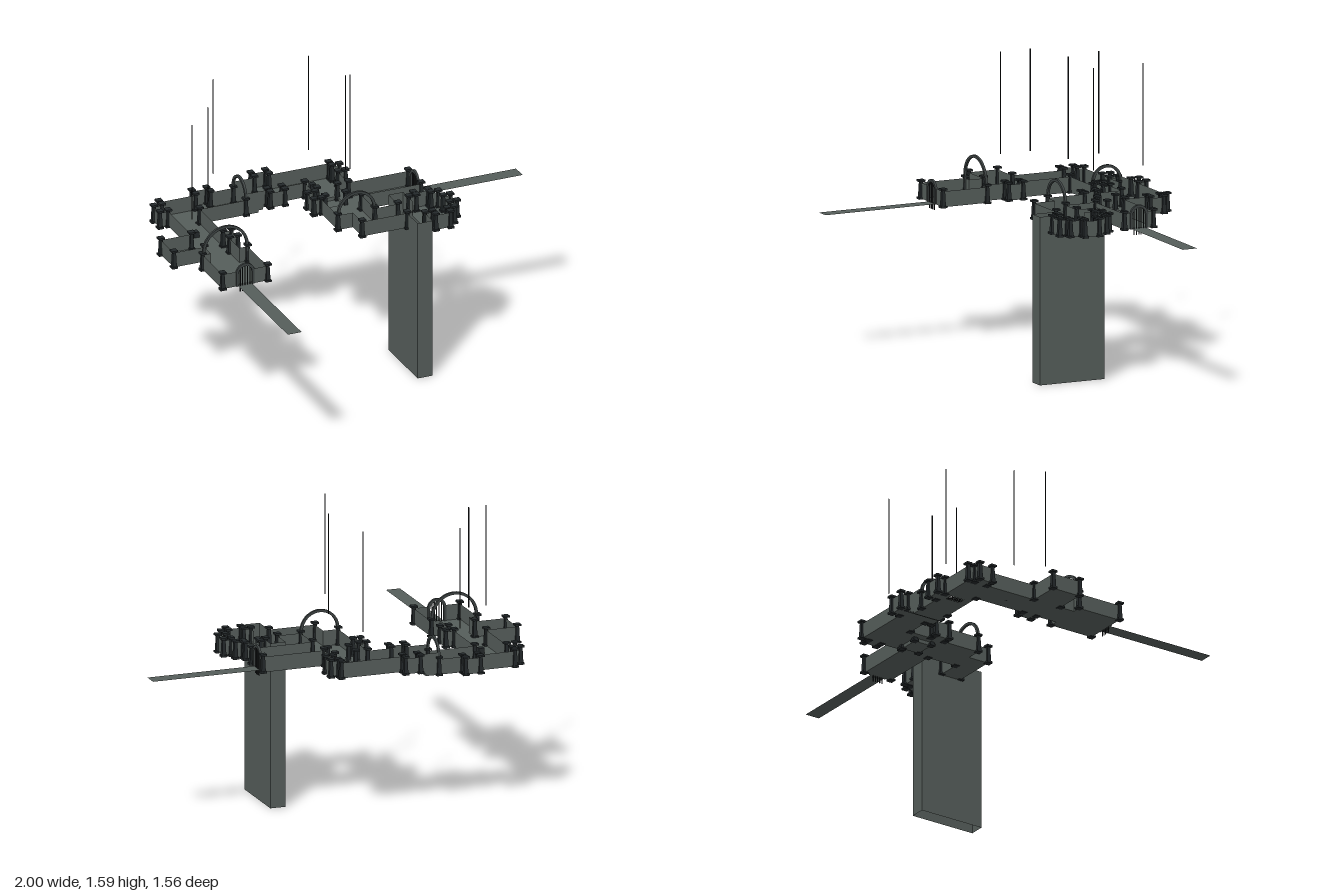
import * as THREE from 'three';

const mat = (name, color, side = THREE.FrontSide) => {
  const m = new THREE.MeshStandardMaterial({ color, side });
  m.name = name;
  return m;
};

export function createModel() {
  const root = new THREE.Group();
  const stone = mat('grey green stone', 0x555d5a, THREE.DoubleSide);
  const dark = mat('dark pillar stone', 0x23282a);
  const trim = mat('arch stone', 0x3c4242);
  const iron = mat('black iron', 0x1b1d1e);
  const LOW = 0.74, HIGH = 0.775, WALL = 0.08;

  const add = (parent, name, geo, m, x = 0, y = 0, z = 0) => {
    const mesh = new THREE.Mesh(geo, m);
    mesh.name = name;
    mesh.position.set(x, y, z);
    parent.add(mesh);
    return mesh;
  };
  const group = (name, parent = root) => {
    const g = new THREE.Group();
    g.name = name;
    parent.add(g);
    return g;
  };
  const box = (parent, name, m, w, h, d, x, y, z) => add(parent, name, new THREE.BoxGeometry(w, h, d), m, x, y, z);

  // Thin wall panels along a list of [x, z] points
  function walls(name, pts, y0, y1) {
    const pos = [], idx = [];
    for (let i = 0; i < pts.length - 1; i++) {
      const [a, b] = pts[i], [c, d] = pts[i + 1], n = i * 4;
      pos.push(a, y0, b, c, y0, d, c, y1, d, a, y1, b);
      idx.push(n, n + 1, n + 2, n, n + 2, n + 3);
    }
    const g = new THREE.BufferGeometry();
    g.setAttribute('position', new THREE.Float32BufferAttribute(pos, 3));
    g.setIndex(idx);
    g.computeVertexNormals();
    add(root, name, g, stone);
  }

  // Flat floor from an outline, with optional rectangular holes
  const rect = (x0, x1, z0, z1) => [[x0, z0], [x1, z0], [x1, z1], [x0, z1]];
  function floor(name, pts, y, holes = []) {
    const v = (l) => l.map(([x, z]) => new THREE.Vector2(x, -z));
    const s = new THREE.Shape(v(pts));
    holes.forEach((h) => s.holes.push(new THREE.Path(v(h))));
    add(root, name, new THREE.ShapeGeometry(s).rotateX(-Math.PI / 2), stone, 0, y, 0);
  }

  // Tapered square pillar with base and cap
  const shaftGeo = new THREE.CylinderGeometry(0.011, 0.016, 0.08, 4, 1).rotateY(Math.PI / 4).toNonIndexed();
  shaftGeo.computeVertexNormals();
  function pillar(x, z, y) {
    const p = group('pillar');
    p.position.set(x, y, z);
    box(p, 'pillarBase', dark, 0.032, 0.01, 0.032, 0, 0.002, 0);
    add(p, 'pillarShaft', shaftGeo, dark, 0, 0.046, 0);
    box(p, 'pillarCap', dark, 0.032, 0.01, 0.032, 0, 0.091, 0);
  }
  // A third entry in a point means no pillar there
  const pillars = (pts, y) => pts.forEach(([x, z, none]) => none || pillar(x, z, y));

  // Lower rooms: outer and inner wall lines
  const lowOuter = [[-0.78, 0.165, 1], [-0.865, 0.165], [-0.865, -0.08], [-0.82, -0.08, 1], [-0.82, -0.16],
    [-0.985, -0.16], [-0.985, -0.32], [-0.82, -0.32], [-0.82, -0.605], [-0.865, -0.605], [-0.865, -0.68],
    [-0.82, -0.68], [-0.82, -0.72], [-0.62, -0.72], [-0.62, -0.765], [-0.54, -0.765], [-0.54, -0.72], [-0.415, -0.72]];
  const lowInner = [[-0.705, 0.165, 1], [-0.62, 0.165], [-0.62, -0.08], [-0.665, -0.08, 1], [-0.665, -0.2],
    [-0.62, -0.2], [-0.62, -0.28], [-0.665, -0.28], [-0.665, -0.565], [-0.415, -0.565]];
  const grate = rect(-0.62, -0.58, -0.685, -0.605);
  for (const w of [lowOuter, lowInner]) {
    walls('lowerWalls', w, LOW, LOW + WALL);
    pillars(w, LOW);
  }
  floor('lowerFloor', [...lowOuter, ...[...lowInner].reverse()], LOW, [grate]);

  // Floor grate
  const grid = group('floorGrate');
  for (let i = 1; i < 4; i++) box(grid, 'grateBar', iron, 0.002, 0.003, 0.08, -0.62 + i * 0.01, LOW, -0.645);
  for (let i = 1; i < 8; i++) box(grid, 'grateBar', iron, 0.04, 0.003, 0.002, -0.6, LOW, -0.685 + i * 0.01);

  // Upper rooms
  const highNorth = [[-0.3, -0.72], [-0.3, -0.765], [-0.22, -0.765], [-0.22, -0.72], [0.105, -0.72], [0.105, -0.68],
    [0.145, -0.68], [0.145, -0.605], [0.105, -0.605], [0.105, -0.48], [0.43, -0.48], [0.43, -0.44, 1]];
  const highEast = [[0.43, -0.36, 1], [0.43, -0.32], [0.105, -0.32], [0.105, -0.155], [0.23, -0.155]];
  const highSouth = [[-0.3, -0.565], [-0.3, -0.525], [-0.22, -0.525], [-0.22, -0.565], [-0.095, -0.565], [-0.095, -0.44],
    [-0.135, -0.44], [-0.135, -0.36], [-0.095, -0.36], [-0.095, -0.155], [-0.015, -0.155, 1], [-0.015, -0.04], [0.23, -0.04]];
  for (const w of [highNorth, highEast, highSouth]) {
    walls('upperWalls', w, HIGH, HIGH + WALL);
    pillars(w, HIGH);
  }
  // Sunken basin with four pillars
  const basin = rect(-0.052, 0.058, -0.51, -0.41);
  floor('upperFloor', [...highNorth, ...highEast, ...[...highSouth].reverse()], HIGH, [basin]);
  floor('basinFloor', basin, HIGH - 0.018);
  walls('basinSides', [...basin, basin[0]], HIGH - 0.018, HIGH);
  pillars(basin, HIGH - 0.018);

  // Steps between the two levels
  [[-0.415, -0.345, LOW], [-0.345, -0.32, 0.752], [-0.32, -0.3, 0.764]].forEach(([x0, x1, y], i) => {
    floor('step', rect(x0, x1, -0.72, -0.565), y);
    walls('stepRiser', [[x1, -0.72], [x1, -0.565]], y, [0.752, 0.764, HIGH][i]);
    for (const z of [-0.72, -0.565]) walls('stairWall', [[x0, z], [x1, z]], y, HIGH + WALL);
  });

  // Cross-shaped room beyond the chasm
  const cross = [[0.31, -0.04, 1], [0.31, 0], [0.35, 0], [0.35, 0.04], [0.43, 0.04], [0.43, 0], [0.47, 0],
    [0.47, -0.06], [0.51, -0.06], [0.51, -0.14], [0.47, -0.14], [0.47, -0.2], [0.43, -0.2], [0.43, -0.235],
    [0.35, -0.235], [0.35, -0.2], [0.31, -0.2], [0.31, -0.155, 1]];
  walls('crossRoomWalls', cross, HIGH, HIGH + WALL);
  pillars(cross, HIGH);
  floor('crossRoomFloor', cross, HIGH);

  // Deep open chasm with a gap on each side
  const pit = rect(0.23, 0.31, -0.27, 0.09);
  walls('chasmWalls', [...pit, pit[0]], 0, HIGH);
  walls('chasmRimBack', [[0.23, -0.155], [0.23, -0.27], [0.31, -0.27], [0.31, -0.155]], HIGH, HIGH + WALL);
  walls('chasmRimFront', [[0.23, -0.04], [0.23, 0.09], [0.31, 0.09], [0.31, -0.04]], HIGH, HIGH + WALL);

  // Long entrance paths
  floor('southPath', rect(-0.78, -0.705, 0.165, 0.775), LOW);
  floor('eastPath', rect(0.43, 1, -0.44, -0.36), HIGH);

  // Small blocks on the floors
  for (const [x, z, y] of [[-0.745, -0.44, LOW], [-0.34, -0.64, 0.752], [-0.02, -0.64, HIGH]])
    box(root, 'floorBlock', dark, 0.03, 0.03, 0.03, x, y + 0.015, z);

  // Half-round arches on legs; gates also get bars
  function arch(name, x, z, base, r, spring, turned, gate) {
    const g = group(name);
    g.position.set(x, spring, z);
    if (turned) g.rotation.y = Math.PI / 2;
    const s = new THREE.Shape();
    s.absarc(0, 0, r, 0, Math.PI, false);
    s.absarc(0, 0, r - 0.014, Math.PI, 0, true);
    const geo = new THREE.ExtrudeGeometry(s, { depth: 0.012, bevelEnabled: false, curveSegments: 14 });
    add(g, 'archRing', geo, trim, 0, 0, -0.006);
    for (const k of [-1, 1])
      box(g, 'archLeg', trim, 0.012, spring - base, 0.012, k * (r - 0.007), (base - spring) / 2, 0);
    if (!gate) return;
    for (let i = -2; i <= 2; i++) {
      const top = Math.sqrt((r - 0.01) ** 2 - (i * 0.013) ** 2), bottom = base - 0.032 - spring;
      box(g, 'gateBar', iron, 0.004, top - bottom, 0.004, i * 0.013, (top + bottom) / 2, 0);
    }
  }
  arch('southRoomArch', -0.7425, -0.077, LOW, 0.125, 0.835, false, false);
  arch('stairArch', -0.415, -0.6425, LOW, 0.083, 0.838, true, false);
  arch('hallArch', 0.005, -0.155, HIGH, 0.104, 0.865, false, false);
  arch('southGate', -0.7425, 0.165, LOW, 0.05, 0.81, false, true);
  arch('eastGate', 0.43, -0.4, HIGH, 0.05, 0.845, true, true);

  // Thin hanging chains: x, z, lower end
  for (const [x, z, y] of [[-0.84, -0.265, 0.93], [-0.71, -0.365, 0.96], [-0.548, -0.665, 0.95],
    [-0.035, -0.655, 0.985], [0, -0.222, 1.065], [0.03, -0.347, 1.0]])
    box(root, 'hangingChain', iron, 0.004, 0.52, 0.004, x, y + 0.26, z);

  return root;
}
